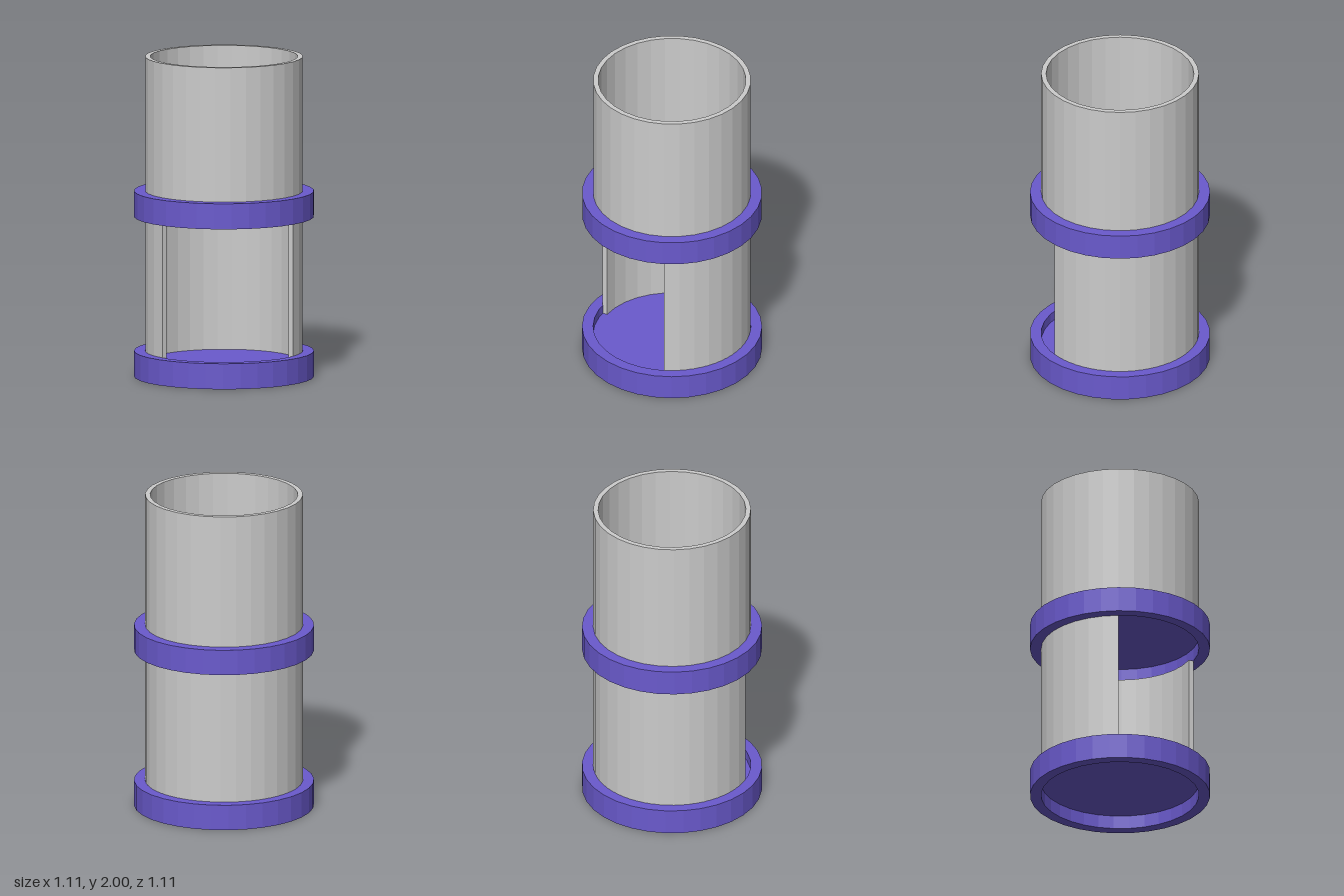
import * as THREE from 'three';

const SIDES = 32;
const STEP = (Math.PI * 2) / SIDES;
const WALL_IN = 0.457, WALL_OUT = 0.488, RING_OUT = 0.557;

// Points of a regular polygon arc, counted in facets
function arc(radius, first, count) {
  return Array.from({ length: count + 1 }, (_, i) => {
    const a = (first + i) * STEP;
    return new THREE.Vector2(radius * Math.cos(a), radius * Math.sin(a));
  });
}

// Extrudes a flat outline upwards from y0 to y1
function raise(shape, y0, y1) {
  const geometry = new THREE.ExtrudeGeometry(shape, { depth: y1 - y0, bevelEnabled: false });
  return geometry.rotateX(-Math.PI / 2).translate(0, y0, 0);
}

function fullRing(inner, outer, y0, y1) {
  const shape = new THREE.Shape(arc(outer, 0, SIDES - 1));
  shape.holes.push(new THREE.Path(arc(inner, 0, SIDES - 1)));
  return raise(shape, y0, y1);
}

export function createModel() {
  const model = new THREE.Group();
  const grey = new THREE.MeshStandardMaterial({ color: 0xcccccc, flatShading: true });
  const purple = new THREE.MeshStandardMaterial({ color: 0x6a5acd, flatShading: true });

  function add(parent, name, geometry, material) {
    const mesh = new THREE.Mesh(geometry, material);
    mesh.name = name;
    parent.add(mesh);
    return mesh;
  }

  // Collar with a plate set inside it, open above and below
  function collar(name, y, turn) {
    const group = new THREE.Group();
    group.name = name;
    add(group, 'collarRing', fullRing(WALL_OUT, RING_OUT, 0, 0.16), purple);
    add(group, 'collarPlate', raise(new THREE.Shape(arc(WALL_OUT, 0, SIDES - 1)), 0.085, 0.1), purple);
    group.position.y = y;
    group.rotation.y = turn;
    model.add(group);
  }
  collar('baseCollar', 0, STEP / 2);
  collar('middleCollar', 1, 0);

  // Lower tube: ten facets left open at the front
  const openHalf = 5;
  const first = -SIDES / 4 + openHalf;
  const count = SIDES - 2 * openHalf;
  const section = new THREE.Shape([
    ...arc(WALL_OUT, first, count),
    ...arc(WALL_IN, first, count).reverse(),
  ]);
  add(model, 'lowerTube', raise(section, 0.1, 1.0), grey);

  // Upper tube: closed all round, open at the top
  add(model, 'upperTube', fullRing(WALL_IN, WALL_OUT, 1.1, 2.0), grey);

  return model;
}
